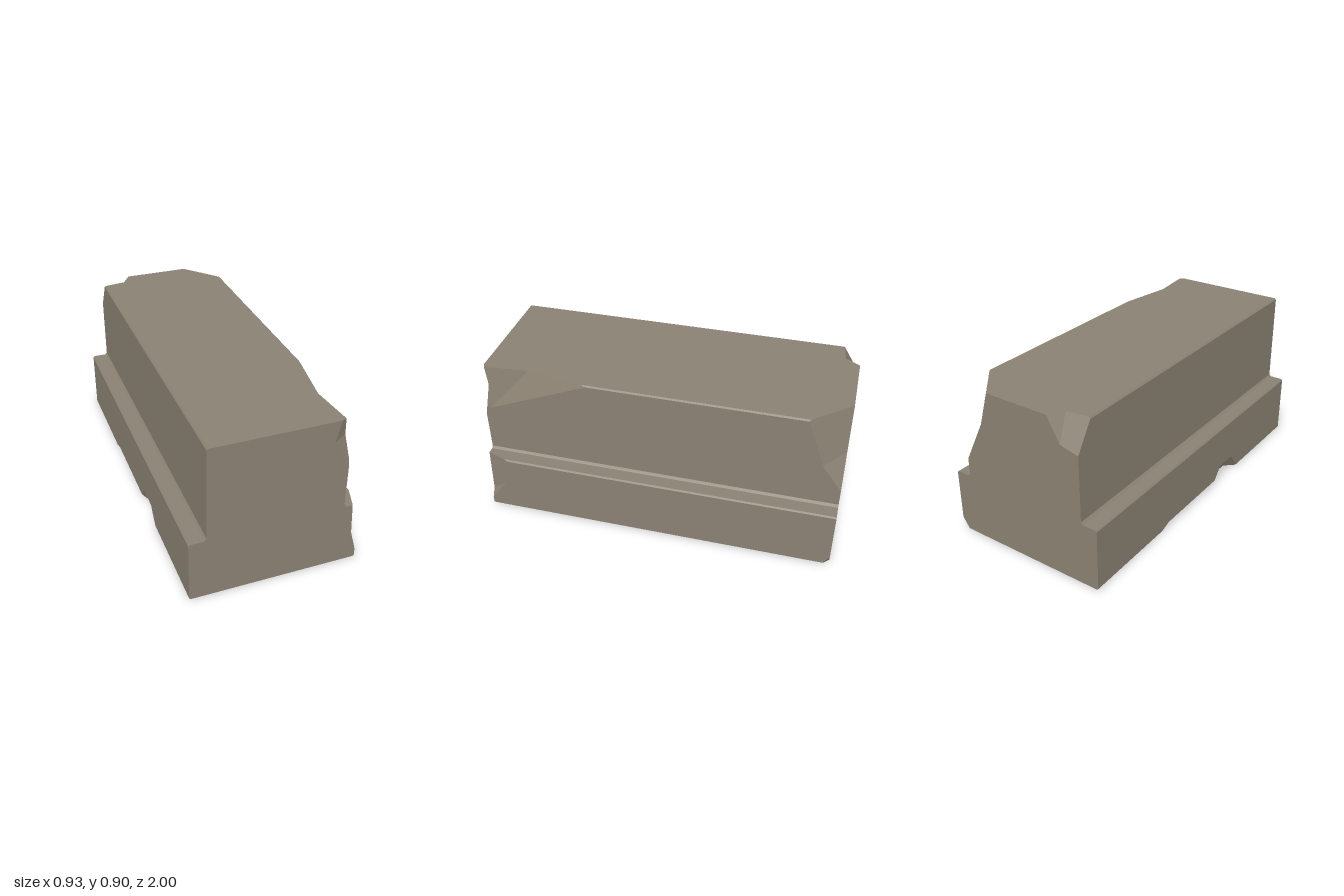
import * as THREE from 'three';

const V = (p) => new THREE.Vector3(...p);

// Keeps the part of a convex polygon on one side of a plane (+1 front, -1 behind)
function clip(poly, plane, side) {
  const out = [];
  poly.forEach((a, i) => {
    const b = poly[(i + 1) % poly.length];
    const da = plane.distanceToPoint(a) * side, db = plane.distanceToPoint(b) * side;
    if (da >= -1e-7) out.push(a);
    if ((da > 1e-7 && db < -1e-7) || (da < -1e-7 && db > 1e-7)) out.push(a.clone().lerp(b, da / (da - db)));
  });
  return out.length > 2 ? out : [];
}

// Removes a convex chip region from one polygon
function subtract(poly, region) {
  const inside = region.reduce((p, plane) => clip(p, plane, 1), poly);
  if (!inside.length) return [poly];
  const out = [];
  let rest = poly;
  for (const plane of region) {
    const kept = clip(rest, plane, -1);
    if (kept.length) out.push(kept);
    rest = clip(rest, plane, 1);
  }
  return out;
}

// Chip: a lost point on the stone plus the fracture planes that bound it
function chip(lost, ...triples) {
  return triples.map((t) => {
    const plane = new THREE.Plane().setFromCoplanarPoints(...t.map(V));
    if (plane.distanceToPoint(V(lost)) < 0) plane.negate();
    return plane;
  });
}

// Convex prism along z from a counter-clockwise profile
function prism(profile) {
  const at = ([x, y], z) => new THREE.Vector3(x, y, z);
  const faces = [profile.map((p) => at(p, 1)), profile.map((p) => at(p, -1)).reverse()];
  profile.forEach((a, i) => {
    const b = profile[(i + 1) % profile.length];
    faces.push([at(a, 1), at(a, -1), at(b, -1), at(b, 1)]);
  });
  return faces;
}

// Large square lying in a plane, facing along its normal
function sheet(plane) {
  const n = plane.normal;
  const u = new THREE.Vector3(0.3, 0.5, 0.81).cross(n).normalize();
  const v = n.clone().cross(u);
  const c = n.clone().multiplyScalar(-plane.constant);
  return [[-4, -4], [4, -4], [4, 4], [-4, 4]].map(([s, t]) => c.clone().addScaledVector(u, s).addScaledVector(v, t));
}

// Prism with all chips broken away
function chippedStone(name, profile, chips, material) {
  const faces = prism(profile);
  const bounds = faces.map((f) => new THREE.Plane().setFromCoplanarPoints(f[0], f[1], f[2]));
  let surface = faces;
  for (const region of chips) surface = surface.flatMap((p) => subtract(p, region));
  for (const region of chips) {
    for (const plane of region) {
      let cap = sheet(plane);
      for (const other of region) if (other !== plane) cap = clip(cap, other, 1);
      for (const b of bounds) cap = clip(cap, b, -1);
      if (!cap.length) continue;
      let caps = [cap];
      for (const other of chips) if (other !== region) caps = caps.flatMap((p) => subtract(p, other));
      surface.push(...caps);
    }
  }
  const pos = [];
  for (const p of surface) {
    for (let i = 1; i < p.length - 1; i++) for (const q of [p[0], p[i], p[i + 1]]) pos.push(q.x, q.y, q.z);
  }
  const geometry = new THREE.BufferGeometry();
  geometry.setAttribute('position', new THREE.Float32BufferAttribute(pos, 3));
  geometry.computeVertexNormals();
  const mesh = new THREE.Mesh(geometry, material);
  mesh.name = name;
  return mesh;
}

// Rectangle profile with small chamfers at bottom and top corners
function chamfered(w, y0, y1, low, high) {
  const right = [[w - low, y0], [w, y0 + low], [w, y1 - high], [w - high, y1]];
  const left = right.map(([x, y]) => [-x, y]).reverse();
  return [...right, ...left].filter((p, i, all) => {
    const q = all[(i + 1) % all.length];
    return p[0] !== q[0] || p[1] !== q[1];
  });
}

export function createModel() {
  const stone = new THREE.MeshStandardMaterial({ color: 0x8a8172 });
  stone.name = 'grey brown stone';
  const group = new THREE.Group();
  group.name = 'steppedStoneBlock';

  const upperChips = [
    // long scoop on the front right top edge
    chip([0.37, 0.9, 0.8],
      [[0.37, 0.9, 0.38], [0.31, 0.9, 0.74], [0.37, 0.75, 0.74]],
      [[0.31, 0.9, 0.74], [0.335, 0.9, 1], [0.37, 0.68, 1]]),
    // thin flake on the front face
    chip([0.37, 0.8, 1],
      [[0.31, 0.9, 1], [0.28, 0.78, 1], [0.37, 0.8, 0.96]],
      [[0.28, 0.78, 1], [0.37, 0.61, 1], [0.37, 0.8, 0.96]]),
    // large break at the back right corner
    chip([0.37, 0.9, -1],
      [[0.37, 0.9, -0.79], [0.37, 0.62, -0.89], [0.19, 0.9, -1]],
      [[0.37, 0.62, -0.89], [0.37, 0.47, -1], [0.285, 0.62, -1]]),
    // small notch at the back left corner
    chip([-0.37, 0.9, -1],
      [[-0.37, 0.9, -0.9], [-0.24, 0.9, -0.92], [-0.37, 0.74, -1]],
      [[-0.24, 0.9, -0.92], [-0.19, 0.9, -1], [-0.25, 0.79, -1]]),
  ];

  const baseChips = [
    // flake at the front right corner
    chip([0.465, 0.3, 1],
      [[0.42, 0.36, 1], [0.435, 0.1, 1], [0.465, 0.3, 0.88]],
      [[0.435, 0.1, 1], [0.465, 0.05, 1], [0.465, 0.2, 0.89]]),
    // nick at the back right bottom corner
    chip([0.465, 0, -1],
      [[0.465, 0.06, -1], [0.465, 0, -0.96], [0.425, 0, -1]]),
    // deep notch in the left bottom edge
    chip([-0.465, 0, 0.28],
      [[-0.465, 0.1, 0.25], [-0.4, 0, 0.25], [-0.4, 0, 0.3]],
      [[-0.465, 0, 0.42], [-0.465, 0.1, 0.34], [-0.4, 0, 0.36]],
      [[-0.465, 0, 0.12], [-0.465, 0.1, 0.2], [-0.4, 0, 0.2]]),
    // shallow wear beside it
    chip([-0.465, 0, -0.15],
      [[-0.465, 0.03, 0], [-0.44, 0, 0], [-0.44, 0, 0.1]],
      [[-0.465, 0, -0.45], [-0.465, 0.03, -0.36], [-0.44, 0, -0.38]],
      [[-0.465, 0, 0.24], [-0.465, 0.03, 0.2], [-0.44, 0, 0.2]]),
  ];

  group.add(
    chippedStone('baseCourse', chamfered(0.465, 0, 0.36, 0.008, 0.008), baseChips, stone),
    chippedStone('upperBlock', chamfered(0.371, 0.36, 0.9, 0, 0.008), upperChips, stone),
    // narrow slope where the upper block meets the ledge
    chippedStone('ledgeJoint', [[0.383, 0.36], [0.371, 0.372], [-0.371, 0.372], [-0.383, 0.36]], [], stone),
  );
  return group;
}
